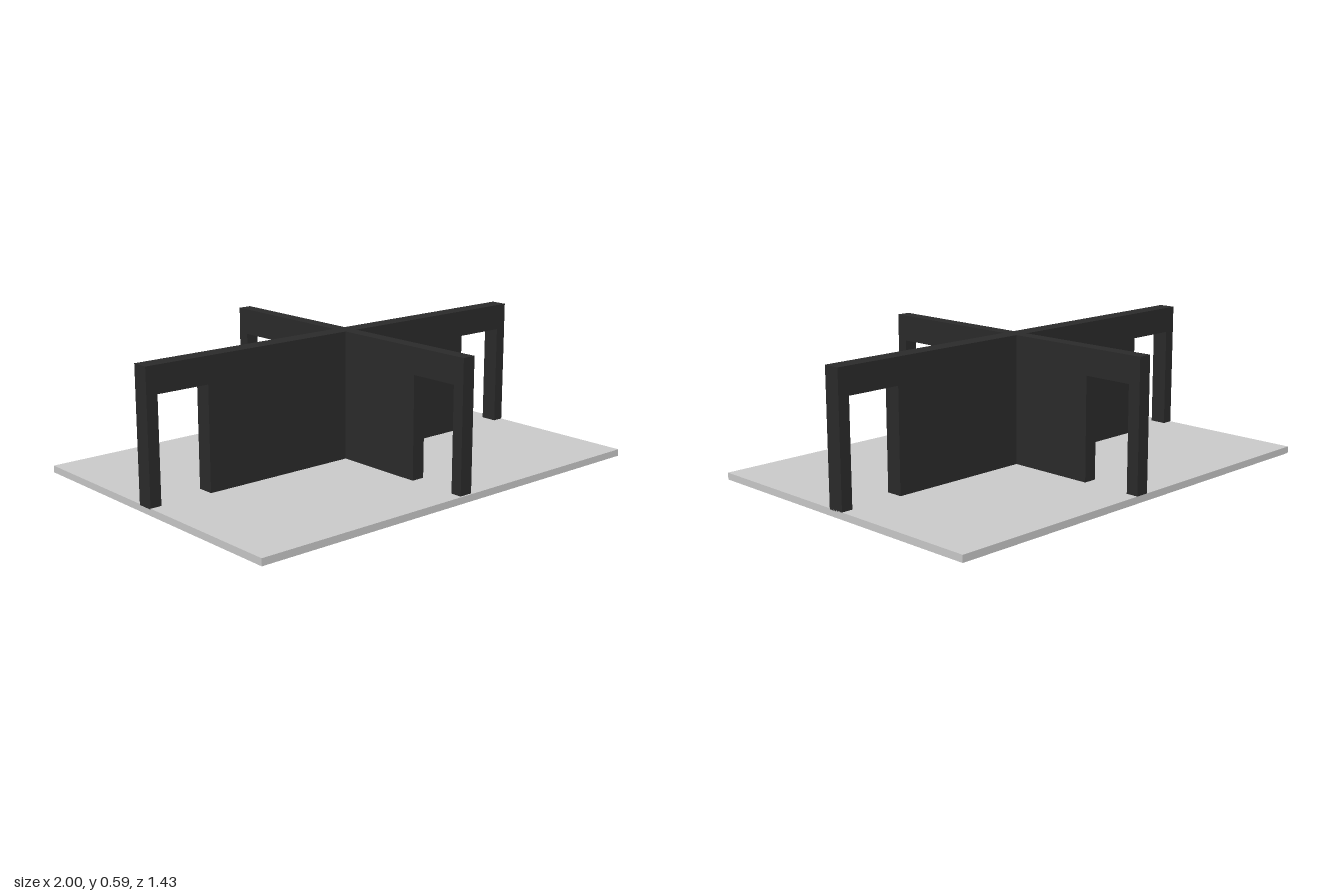
import * as THREE from 'three';

const SLAB_TOP = 0.03, DOOR_TOP = 0.475, WALL_TOP = 0.59, FOOT = 0.026;

// Wall elevation with a doorway notch near each end
function wallShape(start, end, doors) {
  const pts = [[start, WALL_TOP], [start, FOOT]];
  for (const [a, b] of doors) pts.push([a, FOOT], [a, DOOR_TOP], [b, DOOR_TOP], [b, FOOT]);
  pts.push([end, FOOT], [end, WALL_TOP]);
  return new THREE.Shape(pts.map(([u, y]) => new THREE.Vector2(u, y)));
}

function wall(name, shape, depth, material) {
  const geometry = new THREE.ExtrudeGeometry(shape, { depth, bevelEnabled: false });
  const mesh = new THREE.Mesh(geometry, material);
  mesh.name = name;
  return mesh;
}

export function createModel() {
  const model = new THREE.Group();
  model.name = 'crossWalls';
  const grey = new THREE.MeshStandardMaterial({ color: 0xcccccc });
  const dark = new THREE.MeshStandardMaterial({ color: 0x2b2b2b });

  // Floor slab
  const floor = new THREE.Mesh(new THREE.BoxGeometry(2, SLAB_TOP, 1.435), grey);
  floor.name = 'floorSlab';
  floor.position.y = SLAB_TOP / 2;
  model.add(floor);

  // Long wall running side to side
  const longWall = wall('longWall',
    wallShape(-1, 1, [[-0.95, -0.715], [0.71, 0.95]]), 0.075, dark);
  longWall.position.z = -0.05;
  model.add(longWall);

  // Cross wall running front to back: profile axis turned onto -z
  const crossWall = wall('crossWall',
    wallShape(-0.71, 0.717, [[-0.66, -0.44], [0.443, 0.663]]), 0.06, dark);
  crossWall.rotation.y = Math.PI / 2;
  model.add(crossWall);

  return model;
}
